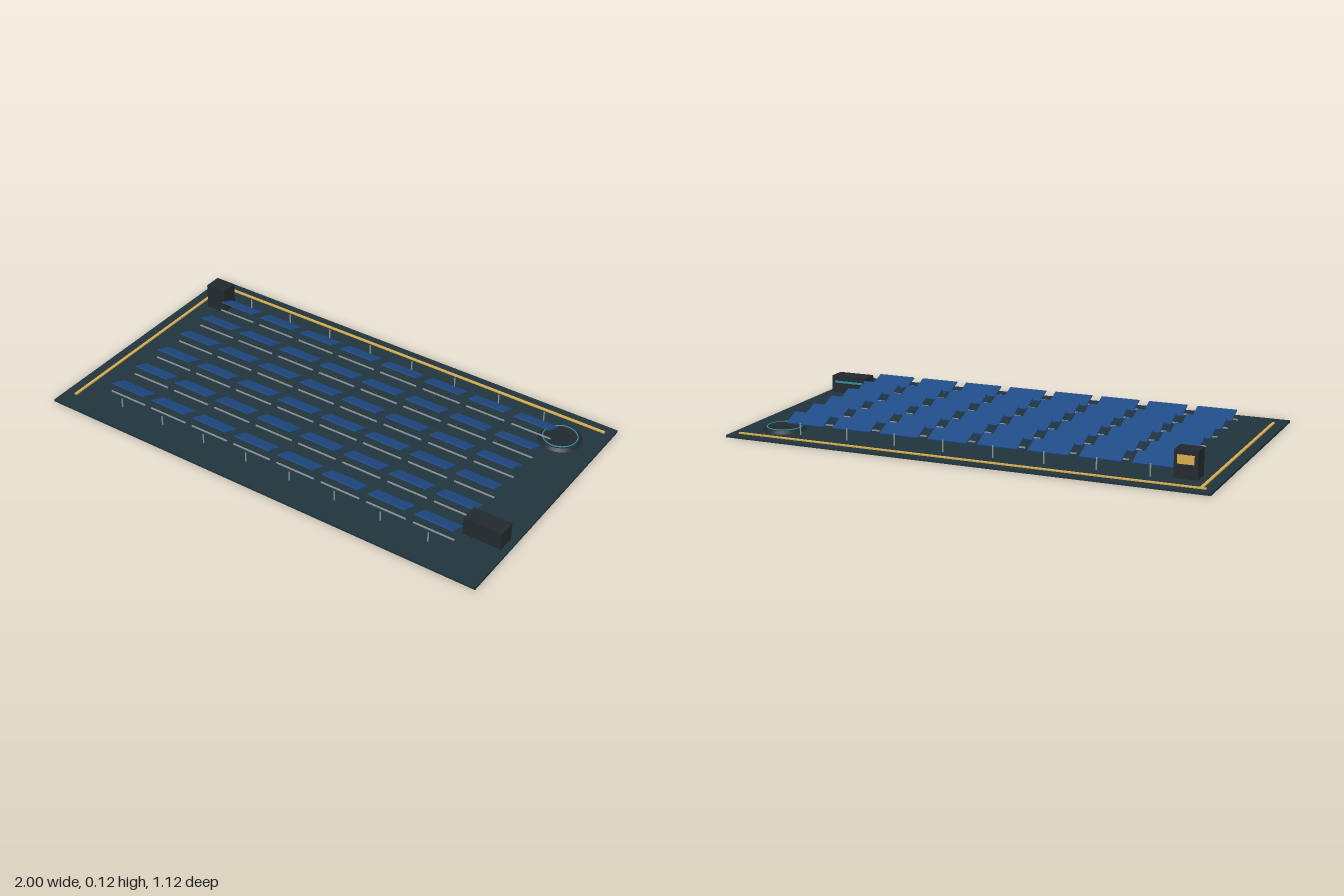
import * as THREE from 'three';

const mat = (color) => new THREE.MeshStandardMaterial({ color });
const M = {
  ground: mat(0x20343c), panel: mat(0x1f4a85), metal: mat(0x8a9296),
  cabinet: mat(0x22292d), gold: mat(0xd8ac4c), teal: mat(0x2f8f9d), pad: mat(0x1a2c33),
};

export function createModel() {
  const root = new THREE.Group();

  const add = (name, geometry, material, x, y, z, parent = root) => {
    const mesh = new THREE.Mesh(geometry, material);
    mesh.name = name;
    mesh.position.set(x, y, z);
    parent.add(mesh);
    return mesh;
  };
  const box = (name, w, h, d, material, x, y, z, parent) =>
    add(name, new THREE.BoxGeometry(w, h, d), material, x, y, z, parent);

  // Ground slab and the two cable strips along its edges
  box('groundSlab', 2, 0.009, 1.12, M.ground, 0, 0.0045, 0);
  box('backCableStrip', 1.935, 0.006, 0.012, M.gold, -0.003, 0.011, -0.515);
  box('sideCableStrip', 0.012, 0.006, 1.0, M.gold, -0.95, 0.011, -0.015);

  // Solar array: 6 rows of 8 tilted panels, each with a thin rail
  const panelGeo = new THREE.BoxGeometry(0.166, 0.005, 0.077);
  const railGeo = new THREE.BoxGeometry(0.176, 0.005, 0.005);
  const array = new THREE.Group();
  array.name = 'solarArray';
  root.add(array);
  for (let row = 0; row < 6; row++) {
    const z = -0.37 + row * 0.147;
    for (let col = 0; col < 8; col++) {
      const x = -0.735 + col * 0.209;
      add('solarPanel', panelGeo, M.panel, x, 0.056, z, array).rotation.x = -0.39;
      add('panelRail', railGeo, M.metal, x, 0.031, z + 0.037, array);
    }
  }

  // Slim posts along the front and back of the array
  const postGeo = new THREE.CylinderGeometry(0.003, 0.003, 1, 8);
  for (const [z, top] of [[0.44, 0.05], [-0.44, 0.058]]) {
    for (let col = 0; col < 8; col++) {
      const post = add('post', postGeo, M.metal, -0.735 + col * 0.209, (top + 0.008) / 2, z);
      post.scale.y = top - 0.008;
    }
  }

  // Tall cabinet with a gold plate on its back
  box('tallCabinet', 0.092, 0.11, 0.075, M.cabinet, -0.864, 0.063, -0.388);
  box('cabinetPlate', 0.065, 0.034, 0.005, M.gold, -0.864, 0.083, -0.4275);

  // Wide cabinet with a teal light strip on its back
  box('wideCabinet', 0.163, 0.075, 0.075, M.cabinet, 0.892, 0.0455, 0.292);
  box('cabinetLight', 0.13, 0.008, 0.005, M.teal, 0.892, 0.057, 0.2525);

  // Round landing pad with a raised disc and a teal ring
  add('padBase', new THREE.CylinderGeometry(0.078, 0.09, 0.013, 40), M.pad, 0.835, 0.0145, -0.382);
  add('padDisc', new THREE.CylinderGeometry(0.066, 0.066, 0.003, 40), M.cabinet, 0.835, 0.0215, -0.382);
  const ring = add('padRing', new THREE.TorusGeometry(0.07, 0.0025, 8, 48), M.teal, 0.835, 0.022, -0.382);
  ring.rotation.x = Math.PI / 2;

  return root;
}
